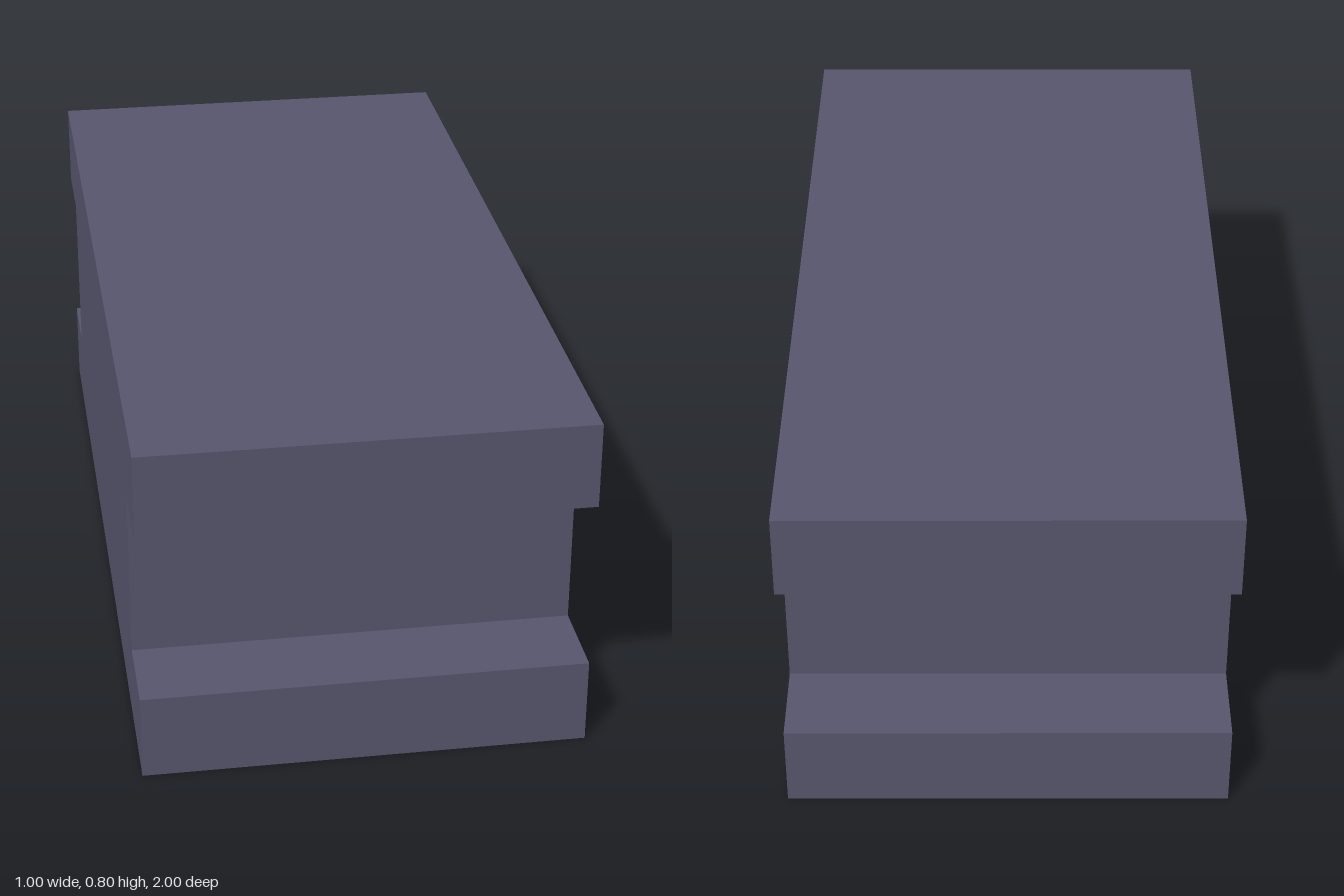
import * as THREE from 'three';

export function createModel() {
  const group = new THREE.Group();
  group.name = 'groovedBlock';
  const slate = new THREE.MeshStandardMaterial({ color: 0x57566e });
  slate.name = 'slate';

  // Side profile: a slab with a square groove cut into each end
  const profile = new THREE.Shape([
    [-1, 0], [1, 0], [1, 0.2], [0.8, 0.2], [0.8, 0.6], [1, 0.6],
    [1, 0.8], [-1, 0.8], [-1, 0.6], [-0.8, 0.6], [-0.8, 0.2], [-1, 0.2],
  ].map(([z, y]) => new THREE.Vector2(z, y)));

  // Extrude across the width, then turn the profile to run along z
  const geometry = new THREE.ExtrudeGeometry(profile, { depth: 1, bevelEnabled: false });
  geometry.translate(0, 0, -0.5);
  geometry.rotateY(Math.PI / 2);

  const block = new THREE.Mesh(geometry, slate);
  block.name = 'block';
  group.add(block);
  return group;
}
